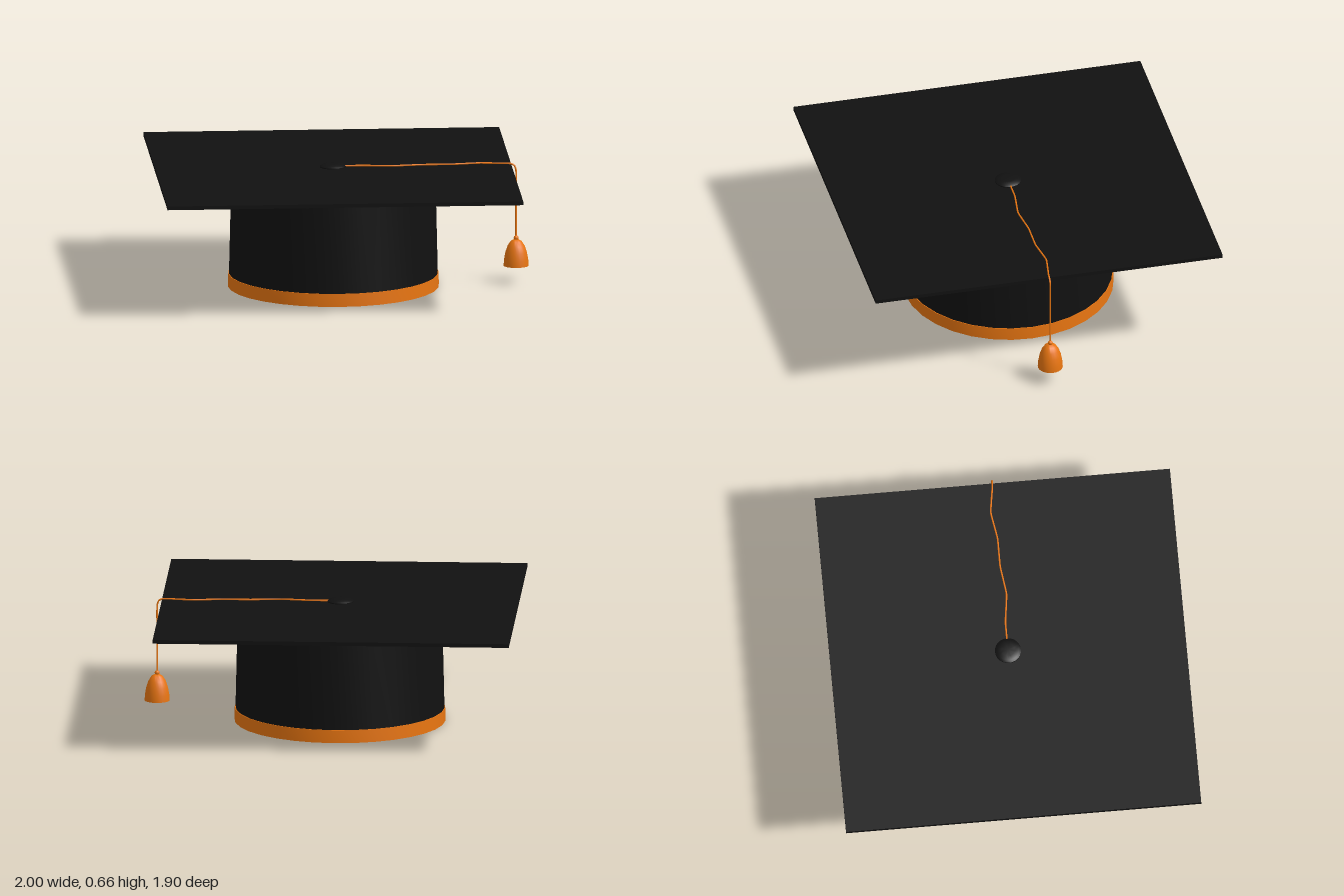
import * as THREE from 'three';
import { toCreasedNormals } from 'three/addons/utils/BufferGeometryUtils.js';

const CX = -0.0475; // centre of the board and crown
const TX = 0.931;   // line on which the tassel hangs

export function createModel() {
  const group = new THREE.Group();
  const black = new THREE.MeshStandardMaterial({ color: 0x111111 });
  const orange = new THREE.MeshStandardMaterial({ color: 0xe87511 });

  const add = (name, geometry, material, x = 0, y = 0) => {
    const mesh = new THREE.Mesh(geometry, material);
    mesh.name = name;
    mesh.position.set(x, y, 0);
    group.add(mesh);
  };
  // Turned solid from [radius, height] pairs, listed from the bottom outward and up
  const lathe = (profile, sides) => toCreasedNormals(
    new THREE.LatheGeometry(profile.map(([r, y]) => new THREE.Vector2(r, y)), sides), 0.6);

  // Square board
  add('board', new THREE.BoxGeometry(1.905, 0.02, 1.905), black, CX, 0.635);

  // Hollow crown: inner ceiling, inner wall, lower rim, outer wall
  add('crown', lathe([[0, 0.62], [0.535, 0.62], [0.55, 0.03], [0.56, 0.03], [0.546, 0.627]], 32), black, CX);

  // Headband around the lower edge, open in the middle
  add('headband', lathe([[0.547, 0.07], [0.547, 0], [0.565, 0], [0.563, 0.07], [0.547, 0.07]], 32), orange, CX);

  // Domed button
  add('button', lathe([[0.07, 0.64], [0.07, 0.65], [0.058, 0.658], [0.035, 0.662], [0, 0.663]], 24), black, -0.05);

  // Cord wandering over the board and bending down past its edge
  const path = new THREE.CatmullRomCurve3([
    [-0.04, 0.65, 0], [0.11, 0.65, 0], [0.27, 0.65, 0.02], [0.43, 0.65, 0], [0.59, 0.65, 0],
    [0.74, 0.65, -0.023], [0.88, 0.65, -0.002], [0.905, 0.649, 0], [0.923, 0.638, 0],
    [TX, 0.61, 0], [TX, 0.45, 0], [TX, 0.24, 0],
  ].map((p) => new THREE.Vector3(...p)), false, 'catmullrom', 0.15);
  add('cord', new THREE.TubeGeometry(path, 120, 0.0045, 8), orange);

  // Bell-shaped tassel with its knot
  add('tassel', lathe([[0, 0.092], [0.067, 0.092], [0.065, 0.125], [0.058, 0.165],
    [0.046, 0.2], [0.03, 0.225], [0.014, 0.235], [0, 0.237]], 24), orange, TX);
  add('tasselKnot', new THREE.SphereGeometry(0.013, 16, 10), orange, TX, 0.243);

  return group;
}
